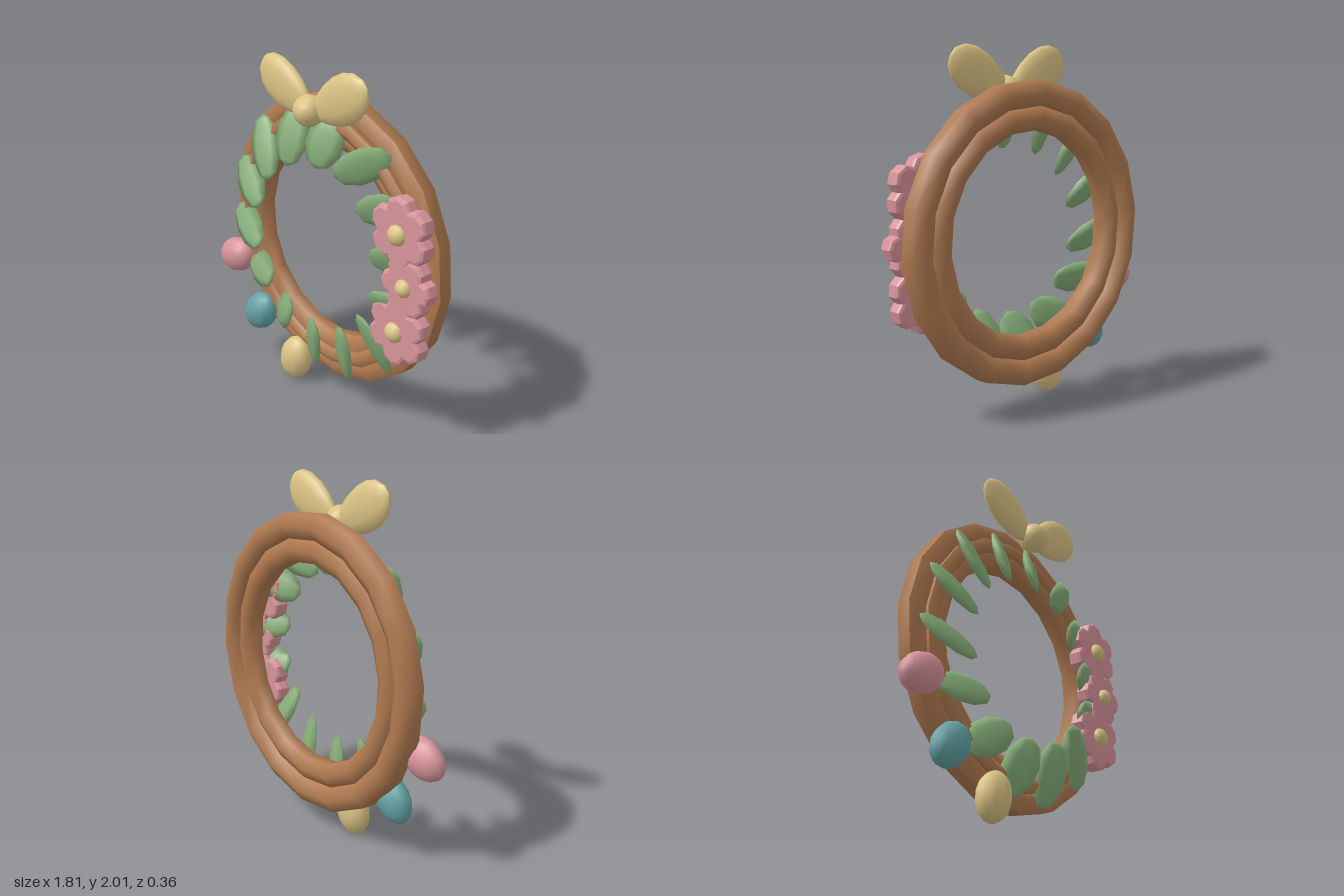
import * as THREE from 'three';

const mat = (color) => new THREE.MeshStandardMaterial({ color });
const BROWN = mat(0xb07a50), GREEN = mat(0x86ad78), PINK = mat(0xd8949b),
  YELLOW = mat(0xdcc484), TEAL = mat(0x64a3a6);
const rad = THREE.MathUtils.degToRad;

export function createModel() {
  const group = new THREE.Group();
  const add = (name, geometry, material, x, y, z, angle = 0) => {
    const mesh = new THREE.Mesh(geometry, material);
    mesh.name = name;
    mesh.position.set(x, y, z);
    mesh.rotation.z = angle;
    group.add(mesh);
    return mesh;
  };
  const ellipsoid = (a, b, c, w = 12, h = 8) =>
    new THREE.SphereGeometry(1, w, h).rotateZ(Math.PI / 2).scale(a, b, c);

  // Wreath base: three nested hoops with six-sided tubes
  const cx = 0.02, cy = 0.975;
  const hoop = (name, R, r, z) => {
    const profile = [];
    for (let i = 0; i <= 6; i++) {
      const a = rad(30 + i * 60);
      profile.push(new THREE.Vector2(R + r * Math.cos(a), r * Math.sin(a)));
    }
    const g = new THREE.LatheGeometry(profile, 18, rad(5)).rotateX(Math.PI / 2);
    add(name, g, BROWN, cx, cy, z);
  };
  hoop('outerHoop', 0.775, 0.08, -0.1);
  hoop('innerHoop', 0.64, 0.075, -0.09);
  hoop('frontHoop', 0.7, 0.05, -0.045);

  // Leaves: inner tip x, y, outer tip x, y, half width
  const leaves = [
    [-0.19, 1.39, -0.2, 1.72, 0.105], [0.05, 1.44, 0.1, 1.73, 0.115],
    [0.2, 1.43, 0.52, 1.61, 0.1], [0.37, 1.28, 0.63, 1.36, 0.1],
    [0.47, 1.06, 0.74, 1.08, 0.1], [0.47, 0.84, 0.74, 0.78, 0.1],
    [0.39, 0.7, 0.56, 0.36, 0.1], [0.26, 0.56, 0.21, 0.18, 0.105],
    [0.03, 0.51, -0.08, 0.18, 0.11], [-0.16, 0.53, -0.41, 0.35, 0.11],
    [-0.33, 0.64, -0.66, 0.65, 0.105], [-0.44, 0.82, -0.78, 0.97, 0.105],
    [-0.44, 1.07, -0.72, 1.3, 0.105], [-0.35, 1.26, -0.52, 1.6, 0.1],
  ];
  for (const [x1, y1, x2, y2, w] of leaves) {
    // Outer tip leans back and the clockwise edge rolls back
    const dir = new THREE.Vector3(x2 - x1, y2 - y1, -0.1);
    const half = dir.length() / 2;
    dir.normalize();
    const side = new THREE.Vector3(dir.y, -dir.x, -0.35);
    const normal = side.clone().cross(dir).normalize();
    side.crossVectors(dir, normal);
    const leaf = add('leaf', new THREE.SphereGeometry(1, 6, 5).scale(w, half, 0.03), GREEN,
      (x1 + x2) / 2, (y1 + y2) / 2, 0.025);
    leaf.quaternion.setFromRotationMatrix(new THREE.Matrix4().makeBasis(side, dir, normal));
  }

  // Flowers: six blunt petals and a round centre
  const flower = (x, y, R, turn, hub) => {
    const points = [];
    const inset = R - 0.02;
    for (let i = 0; i < 6; i++) {
      for (const [da, k] of [[-30, 0.73], [-15, 0.94], [0, 1], [15, 0.94]]) {
        const a = rad(i * 60 + da);
        points.push(new THREE.Vector2(inset * k * Math.cos(a), inset * k * Math.sin(a)));
      }
    }
    const g = new THREE.ExtrudeGeometry(new THREE.Shape(points), {
      depth: 0.05, bevelEnabled: true, bevelSize: 0.02, bevelThickness: 0.02, bevelSegments: 2,
    });
    add('flowerPetals', g, PINK, x, y, 0.005, rad(turn));
    add('flowerCentre', ellipsoid(hub, hub, 0.045), YELLOW, x, y, 0.072);
  };
  flower(0.67, 1.25, 0.2, 34, 0.058);
  flower(0.727, 0.975, 0.17, 0, 0.05);
  flower(0.67, 0.7, 0.2, -34, 0.058);

  // Bow: two mirrored loops, narrower toward the knot
  for (const s of [-1, 1]) {
    const g = ellipsoid(0.22, 0.13, 0.052, 12, 8);
    const p = g.attributes.position;
    for (let i = 0; i < p.count; i++) p.setY(i, p.getY(i) * (1 + s * p.getX(i) * 0.8));
    g.computeVertexNormals();
    add('bowLoop', g, YELLOW, cx + s * 0.217, 1.845, 0.068, s * rad(27));
  }
  add('bowKnot', ellipsoid(0.088, 0.088, 0.088), YELLOW, cx, 1.755, 0.09);

  // Eggs along the lower rim, pointing outward
  for (const [x, y, m] of [[-0.77, 0.64, PINK], [-0.545, 0.33, TEAL], [-0.21, 0.143, YELLOW]]) {
    add('egg', ellipsoid(0.145, 0.11, 0.085), m, x, y, 0, Math.atan2(y - cy, x - cx));
  }
  return group;
}
